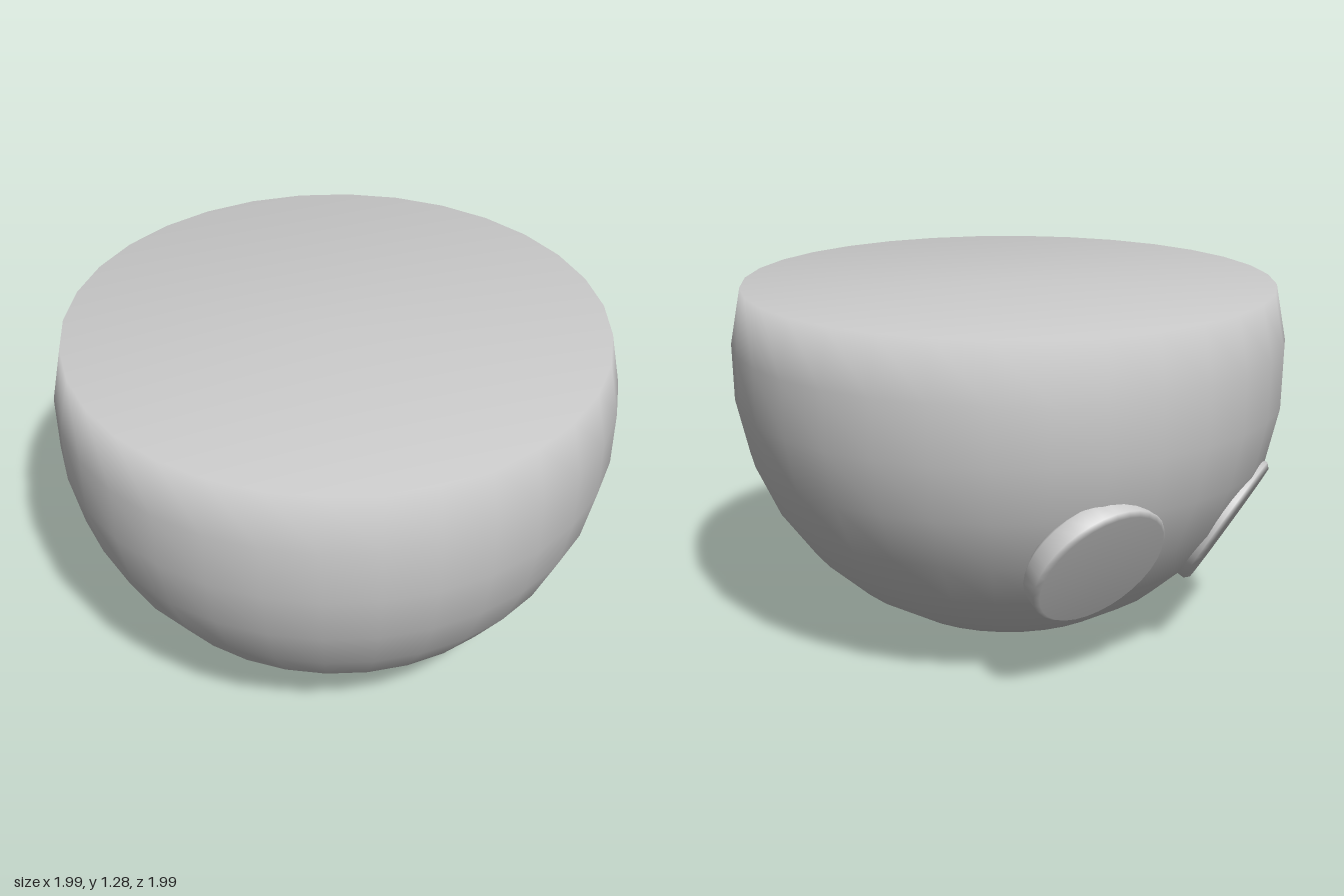
import * as THREE from 'three';

const material = new THREE.MeshStandardMaterial({ color: 0xcccccc });

// Sphere of radius 1 cut flat near the top; the rim normals are shared so the cap shades softly
function makeBody() {
  const cutAngle = Math.asin(0.28);
  const profile = [];
  const steps = 9;
  for (let i = 0; i <= steps; i++) {
    const a = -Math.PI / 2 + (i / steps) * (Math.PI / 2 + cutAngle);
    profile.push(new THREE.Vector2(Math.max(0, Math.cos(a)), 1 + Math.sin(a)));
  }
  profile[0].x = 0;
  profile.push(new THREE.Vector2(0, 1.28));
  const mesh = new THREE.Mesh(new THREE.LatheGeometry(profile, 32), material);
  mesh.name = 'body';
  return mesh;
}

// Round disc with a slightly softened edge; its outer face centre is the origin, facing +y
function makeDisc(name, position, normal) {
  const r = 0.255;
  const profile = [
    [0, -0.11], [r - 0.03, -0.11], [r, -0.08], [r, -0.015], [r - 0.015, 0], [0, 0],
  ].map(([x, y]) => new THREE.Vector2(x, y));
  const mesh = new THREE.Mesh(new THREE.LatheGeometry(profile, 32), material);
  mesh.name = name;
  mesh.position.set(...position);
  mesh.quaternion.setFromUnitVectors(
    new THREE.Vector3(0, 1, 0),
    new THREE.Vector3(...normal).normalize(),
  );
  return mesh;
}

export function createModel() {
  const model = new THREE.Group();
  model.name = 'cutSphere';
  model.add(makeBody());
  // Two discs set into the lower back, one standing out, one nearly flush
  model.add(makeDisc('leftDisc', [0.31, 0.475, -0.82], [0.1, -0.49, -0.865]));
  model.add(makeDisc('rightDisc', [-0.41, 0.455, -0.73], [-0.4, -0.52, -0.75]));
  return model;
}
